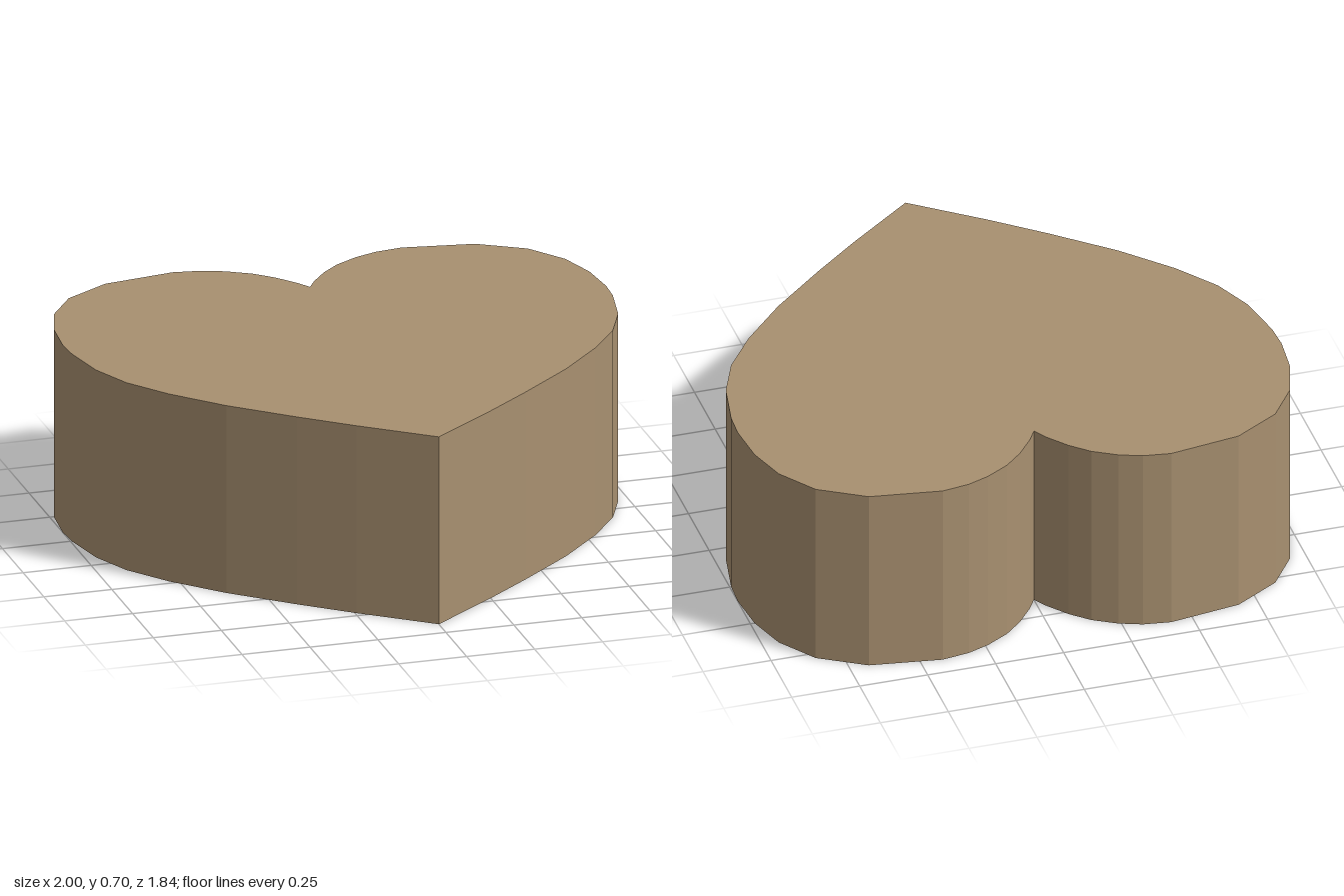
import * as THREE from 'three';

const HEIGHT = 0.705;

// Right half of the heart outline as [x, z], from the notch round to the tip
const HALF = [
  [0, -0.64], [0.03, -0.69], [0.09, -0.765], [0.155, -0.825], [0.24, -0.875], [0.32, -0.905],
  [0.42, -0.92], [0.68, -0.88], [0.845, -0.78], [0.94, -0.645], [0.985, -0.5], [1, -0.345],
  [0.995, -0.25], [0.96, -0.07], [0.895, 0.08], [0.785, 0.23], [0.625, 0.4], [0.42, 0.58],
  [0.245, 0.725], [0, 0.915],
];

export function createModel() {
  const group = new THREE.Group();
  group.name = 'heartBlock';

  // Mirror the half outline, leaving out the shared notch and tip
  const right = HALF.map(([x, z]) => new THREE.Vector2(x, -z));
  const left = HALF.slice(1, -1).reverse().map(([x, z]) => new THREE.Vector2(-x, -z));
  const outline = new THREE.Shape([...right, ...left]);

  // Heart prism standing on the ground with faceted sides
  const geometry = new THREE.ExtrudeGeometry(outline, { depth: HEIGHT, bevelEnabled: false });
  geometry.rotateX(-Math.PI / 2);
  const heart = new THREE.Mesh(
    geometry,
    new THREE.MeshStandardMaterial({ color: 0xa89070, flatShading: true }),
  );
  heart.name = 'heart';
  group.add(heart);

  return group;
}
